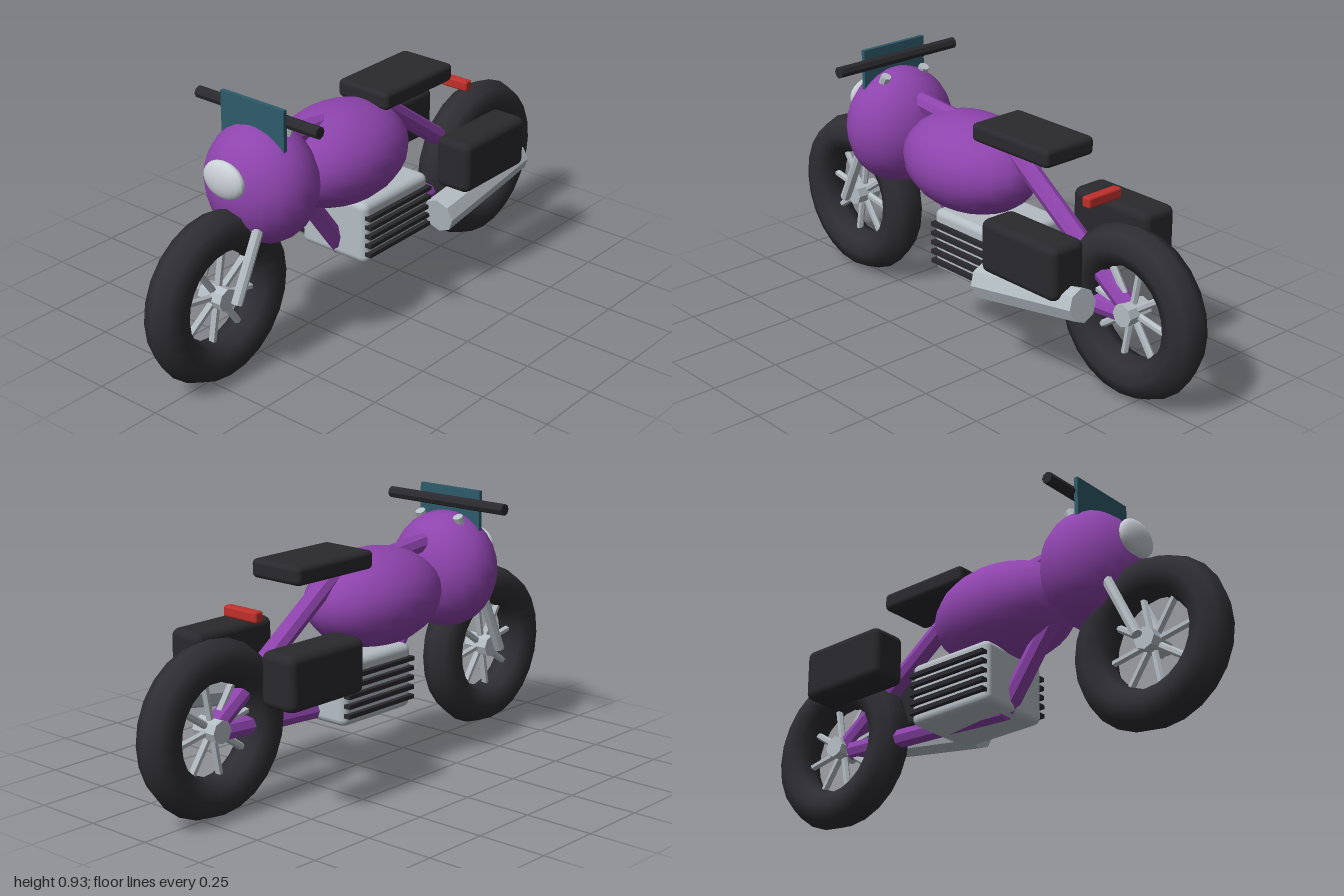
import * as THREE from 'three';
import { RoundedBoxGeometry } from 'three/addons/geometries/RoundedBoxGeometry.js';

const material = (name, color) => {
  const m = new THREE.MeshStandardMaterial({ color });
  m.name = name;
  return m;
};

export function createModel() {
  const model = new THREE.Group();
  model.name = 'motorcycle';

  const purple = material('purple paint', 0x8e44ad);
  const rubber = material('black rubber', 0x2e2e33);
  const black = material('dark trim', 0x2a2a2e);
  const metal = material('silver metal', 0xb4bdc3);
  const lamp = material('lamp glass', 0xc9d0d6);
  const glass = material('teal windscreen', 0x2f5b6b);
  const red = material('red lamp', 0xc0302b);

  const add = (name, geometry, mat, x = 0, y = 0, z = 0, parent = model) => {
    const mesh = new THREE.Mesh(geometry, mat);
    mesh.name = name;
    mesh.position.set(x, y, z);
    parent.add(mesh);
    return mesh;
  };
  const faceted = (geometry) => {
    const g = geometry.toNonIndexed();
    g.computeVertexNormals();
    return g;
  };
  // Faceted round bar between two points
  const bar = (name, a, b, r, mat, parent = model, rEnd = r, sides = 8) => {
    const from = new THREE.Vector3(...a), to = new THREE.Vector3(...b);
    const dir = to.clone().sub(from);
    const mesh = add(name, faceted(new THREE.CylinderGeometry(rEnd, r, dir.length(), sides)), mat, 0, 0, 0, parent);
    mesh.position.copy(from).add(to).multiplyScalar(0.5);
    mesh.quaternion.setFromUnitVectors(new THREE.Vector3(0, 1, 0), dir.normalize());
    return mesh;
  };
  const ellipsoid = (name, size, pos, mat) =>
    add(name, new THREE.SphereGeometry(1, 20, 14).scale(...size), mat, ...pos);
  const roundedBox = (name, size, radius, pos, mat) =>
    add(name, new RoundedBoxGeometry(...size, 2, radius), mat, ...pos);

  // Wheels with tyre, hub and eight spokes
  const wheel = (name, z) => {
    const g = new THREE.Group();
    g.name = name;
    g.position.set(0, 0.302, z);
    add('tyre', new THREE.TorusGeometry(0.229, 0.072, 8, 24).rotateY(Math.PI / 2), rubber, 0, 0, 0, g);
    bar('hub', [-0.05, 0, 0], [0.05, 0, 0], 0.04, metal, g);
    for (let i = 0; i < 8; i++) {
      const a = i * Math.PI / 4 + 0.18;
      bar('spoke', [0, 0, 0], [0, Math.sin(a) * 0.18, Math.cos(a) * 0.18], 0.013, metal, g, 0.013, 6);
    }
    model.add(g);
  };
  wheel('frontWheel', 0.7);
  wheel('rearWheel', -0.7);

  // Frame tubes
  bar('backbone', [0, 0.757, 0.45], [0, 0.71, -0.1], 0.035, purple);
  bar('rearStay', [0, 0.73, -0.1], [0, 0.3, -0.7], 0.035, purple);
  bar('downTube', [0, 0.74, 0.45], [0, 0.24, 0.08], 0.035, purple);
  bar('swingArm', [0, 0.24, 0.08], [0, 0.285, -0.65], 0.035, purple);

  // Painted bodies
  ellipsoid('fuelTank', [0.205, 0.175, 0.282], [0, 0.6, 0.085], purple);
  ellipsoid('frontFairing', [0.205, 0.212, 0.172], [0, 0.635, 0.475], purple);

  // Lamps, windscreen and handlebar
  ellipsoid('headlight', [0.086, 0.066, 0.03], [0, 0.7, 0.65], lamp);
  roundedBox('tailLight', [0.15, 0.038, 0.036], 0.008, [0, 0.658, -0.55], red);
  add('windscreen', new THREE.BoxGeometry(0.272, 0.2, 0.015), glass, 0, 0.83, 0.507);
  bar('handlebar', [-0.262, 0.881, 0.485], [0.262, 0.881, 0.485], 0.021, black);

  // Seat
  roundedBox('seat', [0.22, 0.066, 0.37], 0.018, [0, 0.768, -0.22], black);

  // Engine block with cooling fins
  roundedBox('engineBlock', [0.292, 0.23, 0.35], 0.025, [0, 0.336, -0.053], metal);
  for (let i = 0; i < 5; i++)
    add('coolingFin', new THREE.BoxGeometry(0.328, 0.015, 0.335), black, 0, 0.262 + i * 0.0345, -0.053);

  // Mirrored fork legs and side cases
  for (const s of [-1, 1]) {
    bar('forkLeg', [s * 0.087, 0.3, 0.7], [s * 0.087, 0.84, 0.44], 0.019, metal);
    roundedBox('sideCase', [0.143, 0.19, 0.35], 0.028, [s * 0.211, 0.48, -0.445], black);
  }

  // Exhaust on the left side
  bar('exhaust', [0.203, 0.307, -0.21], [0.203, 0.379, -0.675], 0.064, metal, model, 0.058);

  return model;
}
